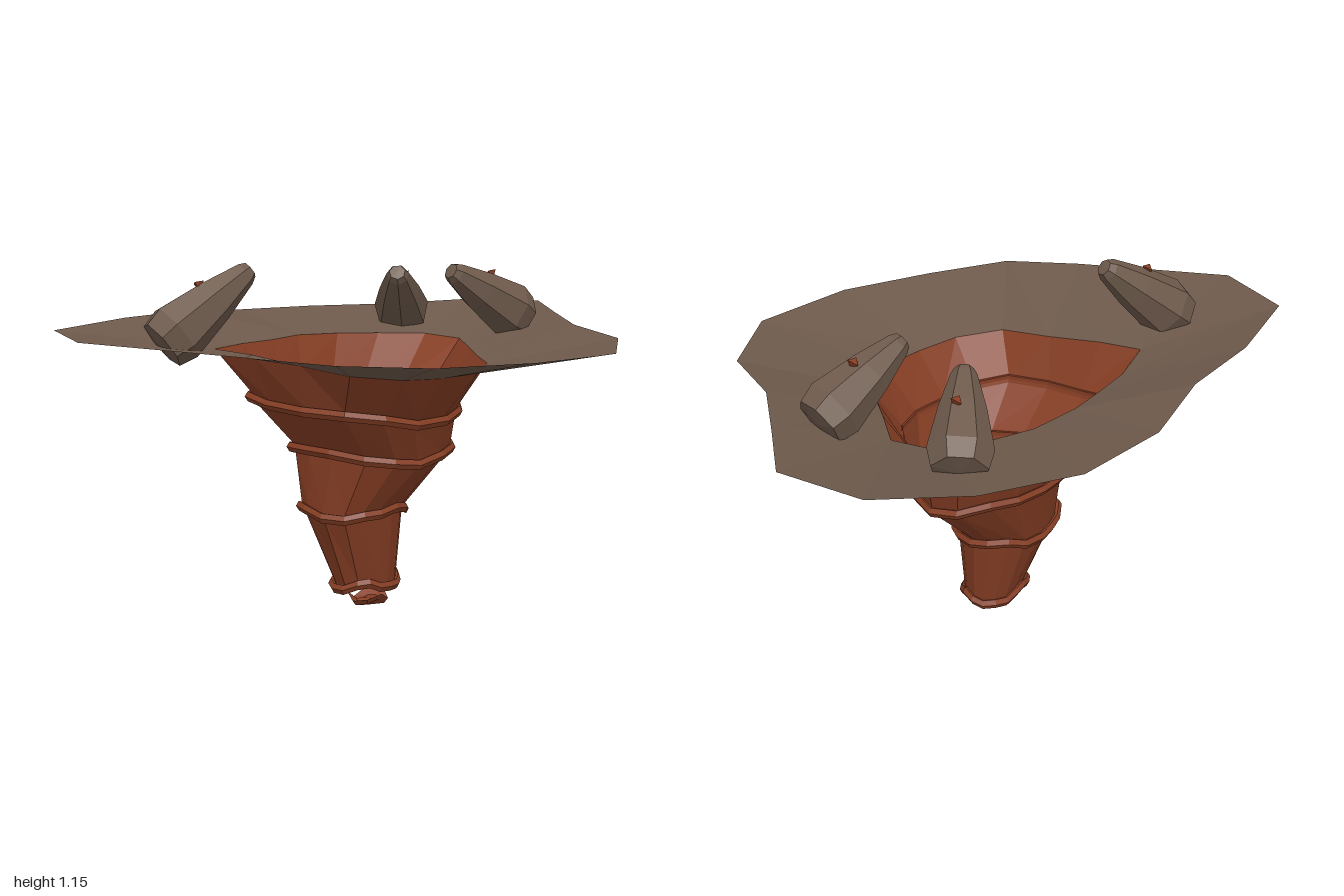
import * as THREE from 'three';

const mat = (color) => new THREE.MeshStandardMaterial({ color, flatShading: true, roughness: 1, side: THREE.DoubleSide });

// Skin a list of equally long closed rings of [x, y, z] points
function loft(rings, closeRows = false) {
  const n = rings[0].length, index = [];
  const last = closeRows ? rings.length : rings.length - 1;
  for (let r = 0; r < last; r++) {
    for (let i = 0; i < n; i++) {
      const a = r * n + i, b = r * n + (i + 1) % n;
      const s = (r + 1) % rings.length;
      const c = s * n + i, d = s * n + (i + 1) % n;
      index.push(a, c, b, b, c, d);
    }
  }
  const g = new THREE.BufferGeometry();
  g.setAttribute('position', new THREE.Float32BufferAttribute(rings.flat(2), 3));
  g.setIndex(index);
  const flat = g.toNonIndexed();
  flat.computeVertexNormals();
  return flat;
}

export function createModel() {
  const group = new THREE.Group();
  const stone = mat(0x6e5a4c), clay = mat(0x863e24);
  const add = (name, geometry, material, parent = group) => {
    const m = new THREE.Mesh(geometry, material);
    m.name = name;
    parent.add(m);
    return m;
  };

  // Ground plate: irregular outer edge sloping down to the pit rim
  const outer = [
    [-1, .945, -.355], [-.855, .955, -.63], [-.485, .965, -.71], [-.155, .97, -.72], [.14, .95, -.775],
    [.465, .945, -.735], [.74, .945, -.57], [.96, .96, -.355], [.995, .965, -.07], [.8, .945, .13],
    [.6, .925, .34], [.465, .905, .595], [.17, .89, .765], [-.195, .89, .715], [-.49, .89, .57],
    [-.72, .905, .395], [-.825, .92, .15]];
  const rim = [
    [-.41, .87, -.21], [-.425, .88, -.36], [-.24, .88, -.41], [-.09, .88, -.42], [.055, .885, -.43],
    [.23, .88, -.40], [.37, .875, -.33], [.5, .87, -.22], [.515, .86, -.08], [.39, .845, .055],
    [.305, .83, .15], [.225, .82, .245], [.07, .81, .32], [-.105, .805, .31], [-.255, .81, .27],
    [-.375, .825, .16], [-.39, .845, -.025]];
  add('groundPlate', loft([rim, outer]), stone);

  // Pit rings: the rim outline rounded off and fitted to a given box
  const ring = ([x0, x1, z0, z1, y, tilt], round, grow = 0, dy = 0) => rim.map(([x, , z], i) => {
    let u = (x - .045) / .47, v = (z + .055) / .375;
    const len = Math.hypot(u, v), k = 1 + round * (1 / len - 1), a = Math.atan2(v, u);
    u *= k;
    v *= k;
    const wave = .012 * Math.sin(3 * a + y * 9) + .005 * Math.sin(i * 2.3);
    return [
      (x0 + x1) / 2 + u * ((x1 - x0) / 2 + grow),
      y + dy + wave - tilt * v,
      (z0 + z1) / 2 + v * ((z1 - z0) / 2 + grow)];
  });
  const levels = [
    [-.365, .385, -.385, .225, .70, .04],
    [-.235, .335, -.315, .18, .54, .015],
    [-.22, .165, -.262, .055, .338, 0],
    [-.125, .125, -.18, .01, .085, 0]];
  const rounds = [.45, .6, .75, .85];

  // Stepped pit wall
  const rows = [rim];
  levels.forEach((l, i) => {
    rows.push(ring(l, rounds[i], -.005, .015));
    rows.push(ring(l, rounds[i], i < 3 ? -.014 : -.008, -.015));
  });
  add('pitWall', loft(rows), clay);

  // Lips at the steps
  levels.forEach((l, i) => {
    const section = [];
    for (let k = 0; k < 5; k++) {
      const a = k / 5 * Math.PI * 2;
      section.push(ring(l, rounds[i], .013 * Math.cos(a), .017 * Math.sin(a)));
    }
    add('pitLip', loft(section, true), clay);
  });

  // Crumpled scrap at the bottom
  const scrap = (r, y, amp) => Array.from({ length: 8 }, (_, i) => {
    const a = i / 8 * Math.PI * 2;
    return [-.01 + r * 1.25 * Math.cos(a), y + amp * Math.sin(2 * a + 1.8 + i), -.07 + r * Math.sin(a)];
  });
  add('bottomScrap', loft([scrap(0, .03, 0), scrap(.035, .022, .008), scrap(.062, .04, .018),
    scrap(.05, .022, .016), scrap(0, .004, 0)]), clay);

  // Leaning stone spikes, each with a clay chip on top
  const spikes = [
    ['spikeRight', [-.665, .92, -.34], [-.42, 1.13, -.22]],
    ['spikeBackLeft', [.61, .92, -.41], [.385, 1.085, -.255]],
    ['spikeLeft', [.655, .94, .065], [.368, 1.1, .0]]];
  for (const [name, from, to] of spikes) {
    const a = new THREE.Vector3(...from), dir = new THREE.Vector3(...to).sub(a), len = dir.length();
    const spike = new THREE.Group();
    spike.name = name;
    spike.position.copy(a);
    spike.quaternion.setFromUnitVectors(new THREE.Vector3(0, 1, 0), dir.clone().normalize());
    const profile = [[0, -.02], [.085, -.01], [.1, .05], [.072, len * .6], [.04, len - .01], [.028, len + .012], [0, len + .014]];
    add('spikeStone', new THREE.LatheGeometry(profile.map((p) => new THREE.Vector2(...p)), 7), stone, spike);
    group.add(spike);
    const chip = add('spikeChip', new THREE.TetrahedronGeometry(.022), clay);
    chip.position.copy(a).addScaledVector(dir, .48).add(new THREE.Vector3(Math.sign(from[0]) * .025, .075, 0));
    chip.rotation.set(.4, .7, .2);
  }
  return group;
}
